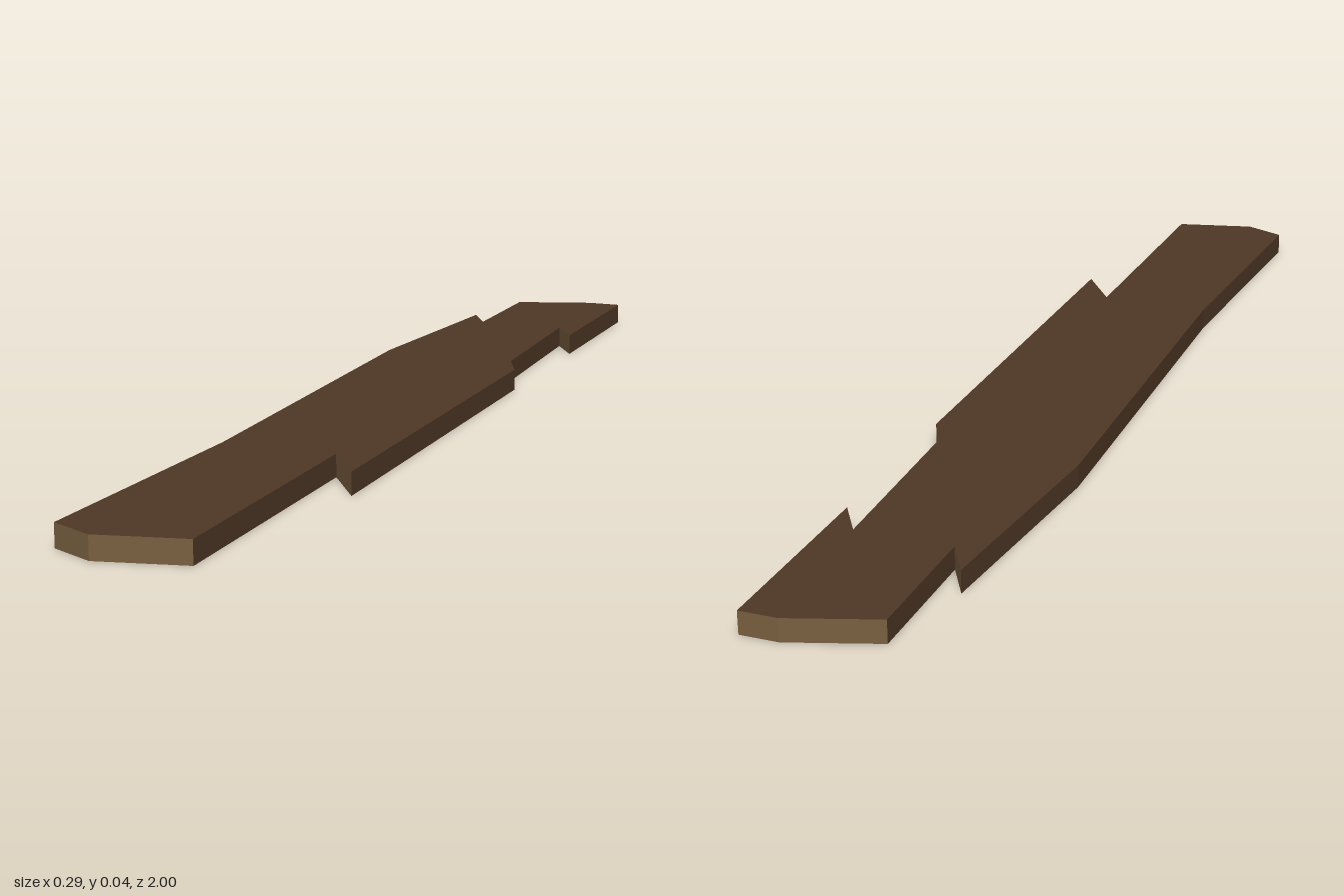
import * as THREE from 'three';

export function createModel() {
  const group = new THREE.Group();
  group.name = 'brokenPlank';
  const wood = new THREE.MeshStandardMaterial({ name: 'darkWood', color: 0x4f3826 });
  const cut = new THREE.MeshStandardMaterial({ name: 'paleEndGrain', color: 0x7a6040 });

  // Plank outline seen from above, as [x, z]
  const outline = [
    [-0.07, -0.95], [0.08, -1], [0.147, -1],                     // back end
    [0.147, -0.63], [0.103, -0.7], [0.115, -0.34], [0.147, -0.27], // left edge chip
    [0.147, 0.545], [0.08, 0.45],                                // left splinter
    [0.08, 0.965], [-0.07, 1], [-0.147, 0.965],                  // front end
    [-0.127, 0.45], [-0.147, -0.35], [-0.11, -0.77], [-0.07, -0.7], // right edge and splinter
  ];
  const shape = new THREE.Shape(outline.map(([x, z]) => new THREE.Vector2(x, -z)));
  const geometry = new THREE.ExtrudeGeometry(shape, { depth: 0.04, bevelEnabled: false });
  geometry.rotateX(-Math.PI / 2);

  // Sawn ends and splinter breaks show pale grain, all other faces dark wood
  const normal = geometry.attributes.normal;
  geometry.clearGroups();
  for (let i = 0; i < normal.count; i += 3) {
    geometry.addGroup(i, 3, Math.abs(normal.getZ(i)) > 0.45 ? 1 : 0);
  }

  const plank = new THREE.Mesh(geometry, [wood, cut]);
  plank.name = 'plank';
  group.add(plank);
  return group;
}
